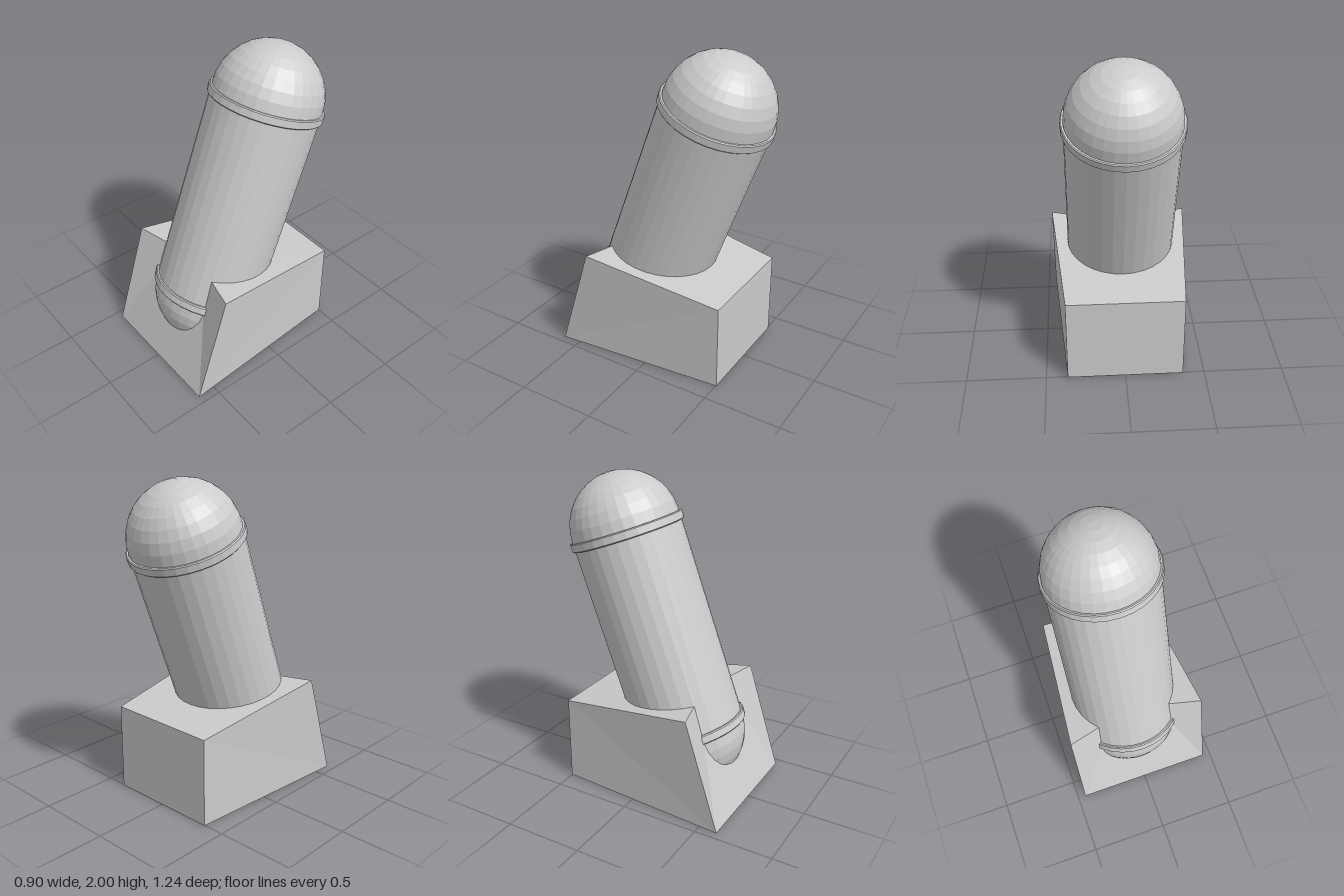
import * as THREE from 'three';

const SIDES = 32, RADIUS = 0.344, LENGTH = 1.374, TILT = -0.358;

export function createModel() {
  const model = new THREE.Group();
  model.name = 'tiltedCapsuleOnBase';
  const material = new THREE.MeshStandardMaterial({ color: 0xcccccc, flatShading: true });
  const add = (parent, geometry, name, y = 0) => {
    const mesh = new THREE.Mesh(geometry, material);
    mesh.name = name;
    mesh.position.y = y;
    parent.add(mesh);
    return mesh;
  };

  // Wedge base: narrower at the back, sloping top, front folded slightly inward
  const corners = [
    -0.45, 0, 0.62, 0.45, 0, 0.62, 0.365, 0, -0.505, -0.365, 0, -0.505,
    -0.45, 0.69, 0.4, -0.15, 0.68, 0.325, 0.15, 0.68, 0.325, 0.45, 0.69, 0.4,
    0.365, 0.555, -0.505, -0.365, 0.555, -0.505,
  ];
  const faces = [
    0, 1, 6, 0, 6, 5, 0, 5, 4, 1, 7, 6, // front
    1, 2, 8, 1, 8, 7, 3, 0, 9, 0, 4, 9, // sides
    2, 3, 9, 2, 9, 8, // back
    4, 5, 9, 5, 6, 9, 6, 8, 9, 6, 7, 8, // top
    0, 3, 2, 0, 2, 1, // bottom
  ];
  let base = new THREE.BufferGeometry();
  base.setAttribute('position', new THREE.Float32BufferAttribute(corners, 3));
  base.setIndex(faces);
  base = base.toNonIndexed();
  base.computeVertexNormals();
  add(model, base, 'base');

  // Capsule leaning backward, origin at the centre of its lower dome
  const capsule = new THREE.Group();
  capsule.name = 'capsule';
  capsule.position.set(0, 0.369, 0.204);
  capsule.rotation.x = TILT;
  model.add(capsule);

  add(capsule, new THREE.CylinderGeometry(RADIUS, RADIUS, LENGTH, SIDES, 1, true), 'tube', LENGTH / 2);

  // Domes at both ends
  const dome = new THREE.SphereGeometry(RADIUS, SIDES, 8, 0, Math.PI * 2, 0, Math.PI / 2);
  add(capsule, dome, 'upperDome', LENGTH);
  add(capsule, dome, 'lowerDome').rotation.x = Math.PI;

  // Raised bands with small chamfers where the domes meet the tube
  const profile = [[0.335, -0.028], [0.355, -0.028], [0.361, -0.022], [0.361, 0.022], [0.355, 0.028], [0.335, 0.028]]
    .map(([x, y]) => new THREE.Vector2(x, y));
  const band = new THREE.LatheGeometry(profile, SIDES);
  add(capsule, band, 'upperBand', LENGTH - 0.03);
  add(capsule, band, 'lowerBand', 0.03);

  return model;
}
